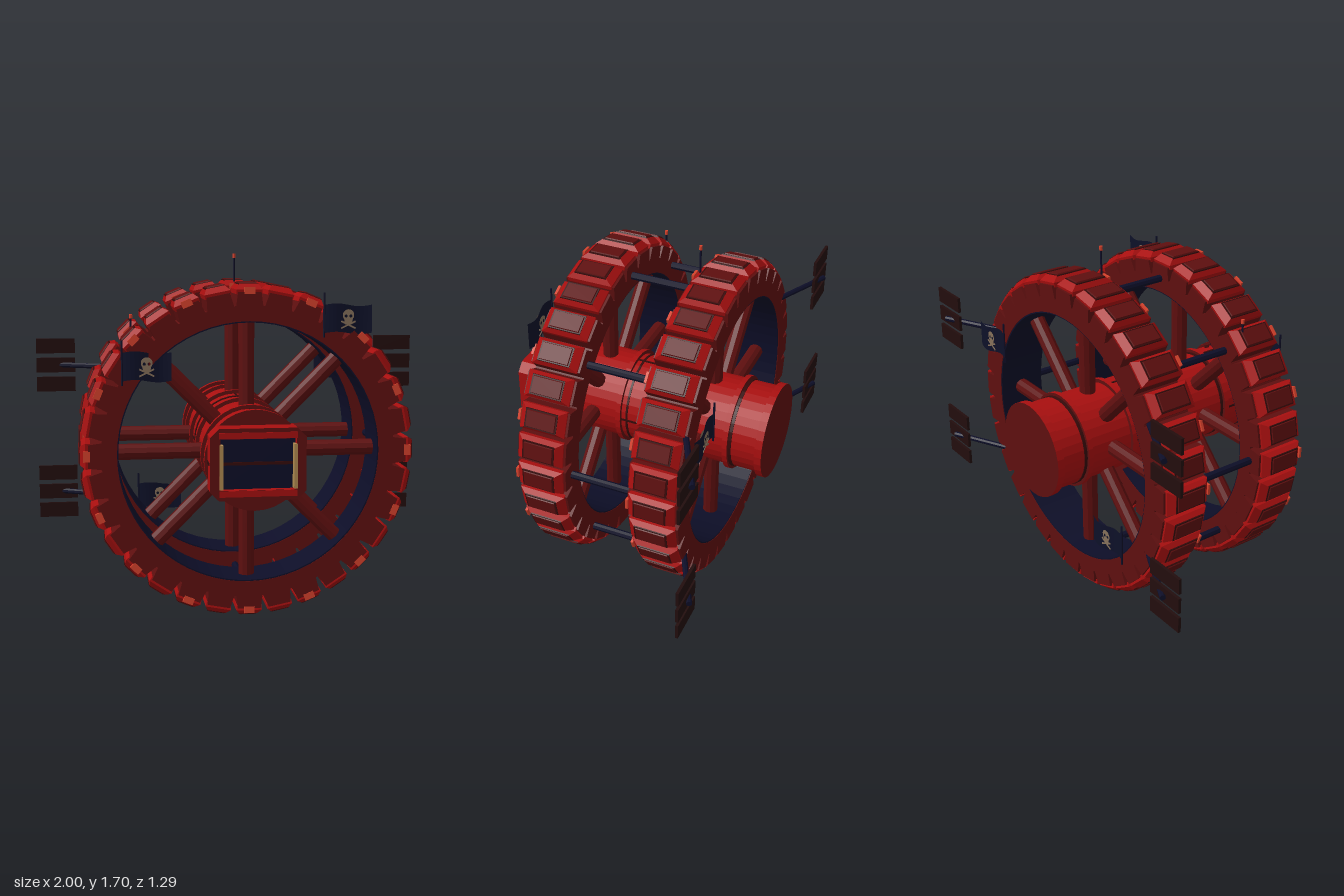
import * as THREE from 'three';

const mat = (name, color, extra = {}) => {
  const m = new THREE.MeshStandardMaterial({ color, flatShading: true, ...extra });
  m.name = name;
  return m;
};

export function createModel() {
  const red = mat('red', 0xa80f0f), dark = mat('dark red', 0x5e0f0f), seam = mat('seam', 0x350a0a);
  const navy = mat('navy', 0x0d0e28), brown = mat('panel brown', 0x220d0d);
  const lamp = mat('lamp', 0xd8422c), tan = mat('tan', 0xb08a50);
  const bone = mat('bone', 0x85705a, { side: THREE.DoubleSide });
  const cloth = mat('cloth', 0x0d1028, { side: THREE.DoubleSide });
  const CY = 0.795;
  const model = new THREE.Group();
  model.name = 'spaceStation';

  const add = (parent, name, geo, material, x = 0, y = 0, z = 0) => {
    const m = new THREE.Mesh(geo, material);
    m.name = name;
    m.position.set(x, y, z);
    parent.add(m);
    return m;
  };
  const group = (parent, name, x = 0, y = 0, z = 0) => {
    const g = new THREE.Group();
    g.name = name;
    g.position.set(x, y, z);
    parent.add(g);
    return g;
  };
  const box = (w, h, d) => new THREE.BoxGeometry(w, h, d);
  // Box from y0 to y1 that tapers from w0 x d0 to w1 x d1
  const taper = (y0, y1, w0, d0, w1, d1) => {
    const g = box(1, 1, 1), p = g.attributes.position;
    for (let i = 0; i < p.count; i++) {
      const top = p.getY(i) > 0;
      p.setXYZ(i, p.getX(i) * (top ? w1 : w0), top ? y1 : y0, p.getZ(i) * (top ? d1 : d0));
    }
    g.computeVertexNormals();
    return g;
  };
  const rod = (parent, name, a, b, r, material, sides = 8) => {
    const va = new THREE.Vector3(...a), dir = new THREE.Vector3(...b).sub(va);
    const m = add(parent, name, new THREE.CylinderGeometry(r, r, dir.length(), sides), material);
    m.position.copy(va).addScaledVector(dir, 0.5);
    m.quaternion.setFromUnitVectors(new THREE.Vector3(0, 1, 0), dir.normalize());
    return m;
  };
  // Rectangular-section hoop around the z axis
  const hoop = (r0, r1, half) => new THREE.LatheGeometry(
    [[r0, -half], [r1, -half], [r1, half], [r0, half], [r0, -half]].map(p => new THREE.Vector2(...p)), 64
  ).rotateX(Math.PI / 2);

  // Shared shapes for the 32 modules of each wheel
  const N = 32;
  const bodyGeo = taper(0.66, 0.745, 0.131, 0.24, 0.108, 0.24);
  const shoulderGeo = taper(0.735, 0.757, 0.118, 0.215, 0.122, 0.222);
  const capGeo = taper(0.757, 0.782, 0.122, 0.222, 0.088, 0.16);
  const plateGeo = taper(0.78, 0.789, 0.082, 0.148, 0.074, 0.14);
  const rimGeo = taper(0.775, 0.784, 0.094, 0.162, 0.09, 0.158);
  const lampGeo = box(0.05, 0.032, 0.012);
  const ringGeo = hoop(0.613, 0.685, 0.12), liningGeo = hoop(0.607, 0.615, 0.117);

  for (const [name, z] of [['frontWheel', 0.225], ['backWheel', -0.322]]) {
    const wheel = group(model, name, 0, CY, z);
    add(wheel, 'rim', ringGeo, dark);
    add(wheel, 'rimLining', liningGeo, navy);
    for (let i = 0; i < N; i++) {
      const mod = group(wheel, 'module');
      mod.rotation.z = i * 2 * Math.PI / N;
      add(mod, 'moduleBody', bodyGeo, dark);
      add(mod, 'moduleShoulder', shoulderGeo, red);
      add(mod, 'moduleCap', capGeo, red);
      add(mod, 'moduleSeam', rimGeo, seam);
      add(mod, 'modulePlate', plateGeo, dark);
      if (i % 2 === 0) add(mod, 'moduleLamp', lampGeo, lamp, 0, 0.752, 0.116);
    }
    for (let i = 0; i < 8; i++) {
      const a = i * Math.PI / 4, c = Math.cos(a), s = Math.sin(a);
      rod(wheel, 'spoke', [0.18 * c, 0.18 * s, 0], [0.615 * c, 0.615 * s, 0], 0.038, dark, 10);
    }
  }

  // Struts joining the wheels
  for (let i = 0; i < 8; i++) {
    const a = i * Math.PI / 4, x = 0.68 * Math.cos(a), y = CY + 0.68 * Math.sin(a);
    rod(model, 'strut', [x, y, 0.11], [x, y, -0.21], 0.018, navy);
  }

  // Hub: drum with flanges and seams along z
  const hub = group(model, 'hub', 0, CY, 0);
  const drum = (name, r, z0, z1, material) => add(hub, name,
    new THREE.CylinderGeometry(r, r, z1 - z0, 32).rotateX(Math.PI / 2), material, 0, 0, (z0 + z1) / 2);
  drum('hubBody', 0.213, -0.63, 0.515, [red, dark, dark]);
  for (const [z0, z1] of [[0.5, 0.53], [0.34, 0.365], [0.075, 0.1], [-0.225, -0.2], [-0.475, -0.45], [-0.645, -0.61]])
    drum('flange', 0.231, z0, z1, [red, dark, dark]);
  for (const [z0, z1] of [[-0.1, -0.075], [0.042, 0.052], [0.325, 0.34], [0.488, 0.5], [-0.49, -0.475]])
    drum('hubBand', 0.217, z0, z1, seam);
  for (let i = 0; i < 4; i++) {
    const s = group(hub, 'hubSeams');
    s.rotation.z = i * Math.PI / 2;
    add(s, 'hubSeam', box(0.01, 0.006, 0.14), seam, 0, 0.213, 0.43);
    add(s, 'hubSeam', box(0.01, 0.006, 0.27), seam, 0, 0.213, -0.06);
    for (const x of [-0.06, 0.06])
      add(s, 'hubPort', new THREE.CylinderGeometry(0.012, 0.012, 0.01, 10), seam, x, 0.205, 0.455);
  }

  // Docking bay: chamfered frame with a recessed opening
  const bay = group(model, 'dockingBay', 0, CY, 0);
  const W = 0.215, H = 0.162, C = 0.04;
  const frame = new THREE.Shape([[W - C, -H], [W, C - H], [W, H - C], [W - C, H], [C - W, H], [-W, H - C], [-W, C - H], [C - W, -H]]
    .map(p => new THREE.Vector2(...p)));
  frame.holes.push(new THREE.Path([[-0.17, -0.115], [-0.17, 0.115], [0.17, 0.115], [0.17, -0.115]]
    .map(p => new THREE.Vector2(...p))));
  add(bay, 'bayFrame', new THREE.ExtrudeGeometry(frame, { depth: 0.115, bevelEnabled: false }), [dark, red], 0, 0, 0.515);
  add(bay, 'bayDoor', box(0.34, 0.23, 0.02), navy, 0, 0, 0.585);
  add(bay, 'baySeam', box(0.437, 0.014, 0.1), seam, 0, 0, 0.55);
  for (const s of [-1, 1]) {
    add(bay, 'bayLip', box(0.35, 0.028, 0.008), red, 0, s * 0.13, 0.63);
    add(bay, 'bayLight', box(0.016, 0.2, 0.04), tan, s * 0.166, -0.01, 0.622);
  }

  // Solar arrays: an angled arm with three slats
  for (const s of [-1, 1]) for (const y of [1.13, 0.457]) {
    const array = group(model, s > 0 ? 'leftSolarArray' : 'rightSolarArray', 0, y, 0);
    rod(array, 'solarArm', [s * 0.62, 0, -0.425], [s * 0.91, 0, -0.57], 0.014, navy);
    for (const dy of [-0.1, 0, 0.1]) add(array, 'solarSlat', box(0.2, 0.076, 0.014), brown, s * 0.9, dy, -0.548);
  }

  // Waving flags with a bone emblem on both faces
  const wave = x => 0.008 * Math.sin(x * 28);
  const clothGeo = new THREE.PlaneGeometry(0.225, 0.13, 12, 1).translate(0.1125, 0, 0);
  const cp = clothGeo.attributes.position;
  for (let i = 0; i < cp.count; i++) {
    cp.setZ(i, wave(cp.getX(i)));
    cp.setY(i, cp.getY(i) + wave(cp.getX(i)) * 0.9);
  }
  clothGeo.computeVertexNormals();
  const skull = new THREE.Shape();
  skull.absarc(0, 0.012, 0.027, -0.7, Math.PI + 0.7, false);
  skull.lineTo(-0.015, -0.03);
  skull.lineTo(0.015, -0.03);
  for (const x of [-0.011, 0.011]) {
    const eye = new THREE.Path();
    eye.absarc(x, 0.008, 0.007, 0, Math.PI * 2, true);
    skull.holes.push(eye);
  }
  const skullGeo = new THREE.ShapeGeometry(skull, 8);
  for (const [x, y, z] of [[0.345, 1.415, 0.347], [-0.585, 1.205, 0.347], [-0.48, 0.435, -0.475], [0.465, 1.11, -0.492]]) {
    const flag = group(model, 'flag', x, y, z);
    rod(flag, 'flagPole', [0, -0.085, 0], [0, 0.122, 0], 0.005, navy, 6);
    add(flag, 'flagCloth', clothGeo, cloth);
    for (const s of [-1, 1]) {
      const e = group(flag, 'emblem', 0.112, 0, s * 0.0095);
      add(e, 'skull', skullGeo, bone, 0, 0.006, 0);
      for (const t of [-1, 1]) add(e, 'crossBone', box(0.075, 0.008, 0.002), bone, 0, -0.026, 0).rotation.z = t * 0.45;
    }
  }

  // Antennas with lamp tips
  for (const [x, y0, y1, z] of [[0, 1.57, 1.7, -0.232], [-0.535, 1.27, 1.425, 0.16]]) {
    rod(model, 'antenna', [x, y0, z], [x, y1, z], 0.005, navy, 6);
    rod(model, 'antennaTip', [x, y1 - 0.012, z], [x, y1 + 0.008, z], 0.008, lamp, 8);
  }
  return model;
}
